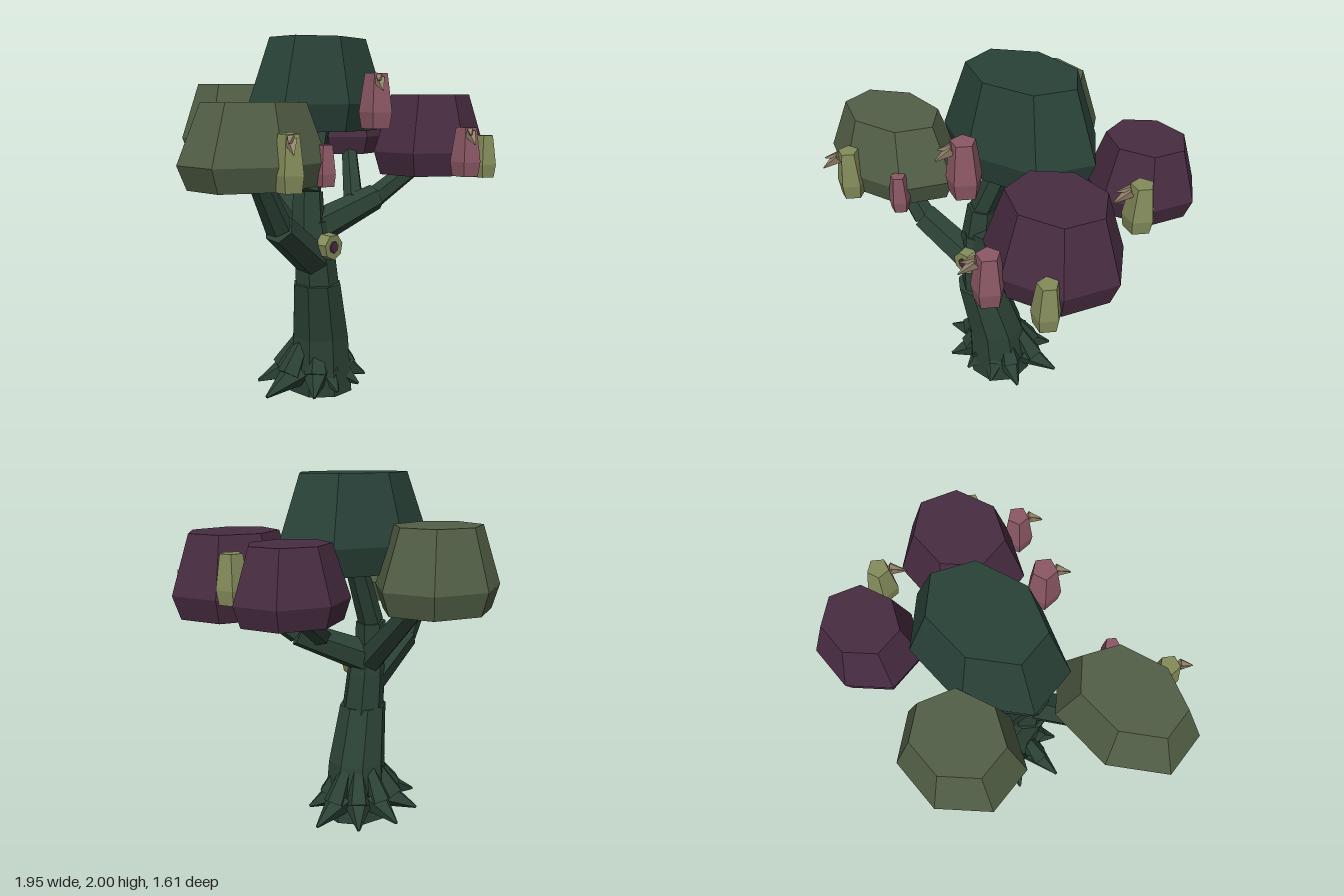
import * as THREE from 'three';

const flat = (name, color) => {
  const m = new THREE.MeshStandardMaterial({ color });
  m.name = name;
  return m;
};

// Closed, faceted stack of level polygons; each ring is [x, y, z, rx, rz].
function ringStack(rings, sides, turn = 0) {
  const pos = [];
  const point = ([x, y, z, rx, rz = rx], k) => {
    const a = turn + (k % sides) / sides * Math.PI * 2;
    return [x + Math.cos(a) * rx, y, z + Math.sin(a) * rz];
  };
  const tri = (...pts) => pts.forEach(p => pos.push(...p));
  const first = rings[0], last = rings[rings.length - 1];
  for (let k = 0; k < sides; k++) {
    for (let i = 0; i < rings.length - 1; i++) {
      const a = point(rings[i], k), b = point(rings[i], k + 1);
      const c = point(rings[i + 1], k), d = point(rings[i + 1], k + 1);
      tri(a, c, b);
      tri(b, c, d);
    }
    tri(first.slice(0, 3), point(first, k), point(first, k + 1));
    tri(last.slice(0, 3), point(last, k + 1), point(last, k));
  }
  const g = new THREE.BufferGeometry();
  g.setAttribute('position', new THREE.Float32BufferAttribute(pos, 3));
  g.computeVertexNormals();
  return g;
}

// Faceted tapered limb between two points.
function limb(from, to, r0, r1, sides = 6) {
  const a = new THREE.Vector3(...from), b = new THREE.Vector3(...to);
  const dir = b.clone().sub(a);
  let g = new THREE.CylinderGeometry(r1, r0, dir.length(), sides).toNonIndexed();
  g.computeVertexNormals();
  g.applyQuaternion(new THREE.Quaternion().setFromUnitVectors(
    new THREE.Vector3(0, 1, 0), dir.clone().normalize()));
  const mid = a.add(b).multiplyScalar(0.5);
  return g.translate(mid.x, mid.y, mid.z);
}

export function createModel() {
  const model = new THREE.Group();
  model.name = 'tree';
  const bark = flat('bark', 0x2c4236);
  const deepGreen = flat('deepGreen', 0x294238);
  const olive = flat('olive', 0x525f46);
  const plum = flat('plum', 0x482c41);
  const lime = flat('lime', 0x848c5b);
  const rose = flat('rose', 0x8b5864);
  const horn = flat('horn', 0x94836a);

  const add = (name, geometry, material, parent = model) => {
    const mesh = new THREE.Mesh(geometry, material);
    mesh.name = name;
    parent.add(mesh);
    return mesh;
  };

  // Trunk in two stepped sections
  add('lowerTrunk', ringStack([
    [0.025, 0, 0.04, 0.19], [0.005, 0.33, 0.055, 0.168], [-0.07, 0.65, 0.1, 0.138],
  ], 8, Math.PI / 8), bark);
  add('upperTrunk', ringStack([
    [-0.06, 0.62, 0.09, 0.125], [-0.08, 0.85, 0.085, 0.113], [-0.09, 1.0, 0.08, 0.09],
  ], 7), bark);

  // Roots: a shoulder on the trunk, then a taper to a point
  const rootTips = [
    [-0.39, 0.02], [-0.22, 0.22], [-0.06, 0.25], [0.12, 0.25], [0.27, 0.17],
    [0.37, -0.08], [0.2, -0.25], [-0.03, -0.3], [-0.25, -0.2],
  ];
  for (const [x, z] of rootTips) {
    const at = (t, y) => [0.015 + (x - 0.015) * t, y, 0.03 + (z - 0.03) * t];
    add('rootShoulder', limb(at(0.27, 0.32), at(0.58, 0.13), 0.035, 0.07, 5), bark);
    add('rootTip', limb(at(0.45, 0.13), at(1, 0.045), 0.085, 0.008, 5), bark);
  }

  // Branches: chains of [x, y, z, radius]
  const branches = {
    rightBranch: [[-0.1, 0.78, 0.1, 0.1], [-0.43, 1.01, 0.17, 0.085], [-0.6, 1.28, 0.2, 0.055]],
    topBranch: [[-0.11, 0.93, 0.07, 0.1], [-0.09, 1.16, 0.05, 0.085], [0.06, 1.55, 0, 0.06]],
    frontLeftBranch: [[-0.06, 0.95, 0.07, 0.1], [0.3, 1.11, 0.21, 0.075], [0.5, 1.28, 0.33, 0.055]],
    backLeftBranch: [[0.18, 1.08, 0.15, 0.06], [0.6, 1.36, -0.25, 0.05]],
    backBranch: [[-0.08, 0.93, 0.05, 0.085], [-0.1, 1.38, -0.43, 0.06]],
  };
  for (const [name, path] of Object.entries(branches)) {
    for (let i = 0; i < path.length - 1; i++) {
      const a = path[i], b = path[i + 1];
      add(name, limb(a.slice(0, 3), b.slice(0, 3), a[3] * (i ? 0.85 : 1), b[3]), bark);
    }
  }

  // Flat-topped crowns: centre x, z, radii, bottom and top heights
  const crown = (name, x, z, rx, rz, y0, y1, material) => add(name, ringStack([
    [x, y0, z, rx * 0.88, rz * 0.88],
    [x, y0 + (y1 - y0) * 0.29, z, rx, rz],
    [x, y1, z, rx * 0.7, rz * 0.7],
  ], 7), material);
  crown('topCrown', 0.1, -0.05, 0.453, 0.328, 1.49, 2, deepGreen);
  crown('rightCrown', -0.6, 0.19, 0.424, 0.3, 1.24, 1.65, olive);
  crown('backCrown', -0.105, -0.515, 0.345, 0.305, 1.32, 1.75, olive);
  crown('frontLeftCrown', 0.607, 0.35, 0.363, 0.315, 1.24, 1.69, plum);
  crown('backLeftCrown', 0.653, -0.35, 0.297, 0.265, 1.325, 1.695, plum);

  // Knot on the trunk
  const disc = (name, r, z0, z1, material) =>
    add(name, limb([-0.08, 0.87, z0], [-0.08, 0.87, z1], r, r * 0.92, 7), material);
  disc('knotRim', 0.077, 0.17, 0.235, lime);
  disc('knotHollow', 0.036, 0.23, 0.24, plum);

  // Perched birds: x, z, bottom, top, radius, colour, whether the beak shows
  const birds = [
    [-0.655, 0.48, 1.24, 1.51, 0.08, lime, true],
    [-0.35, 0.42, 1.24, 1.445, 0.06, rose, false],
    [0.085, 0.385, 1.51, 1.8, 0.094, rose, true],
    [0.485, 0.69, 1.25, 1.515, 0.085, rose, true],
    [0.77, 0.63, 1.22, 1.46, 0.075, lime, false],
    [0.81, -0.06, 1.38, 1.63, 0.085, lime, true],
  ];
  for (const [x, z, y0, y1, r, material, beak] of birds) {
    const bird = new THREE.Group();
    bird.name = 'bird';
    model.add(bird);
    const h = y1 - y0;
    add('birdBody', ringStack([
      [x, y0, z, r * 0.85], [x, y0 + h * 0.3, z, r],
      [x, y0 + h * 0.75, z, r * 0.8], [x, y1, z, r * 0.68],
    ], 5, 0.15), material, bird);
    if (!beak) continue;
    const y = y0 + h * 0.84;
    add('upperBeak', limb([x - 0.035, y + 0.01, z + 0.045],
      [x - 0.085, y - 0.045, z + 0.11], 0.032, 0.003, 4), horn, bird);
    add('beakCasque', limb([x - 0.035, y + 0.025, z + 0.045],
      [x - 0.09, y + 0.005, z + 0.085], 0.022, 0.004, 4), horn, bird);
  }
  return model;
}
